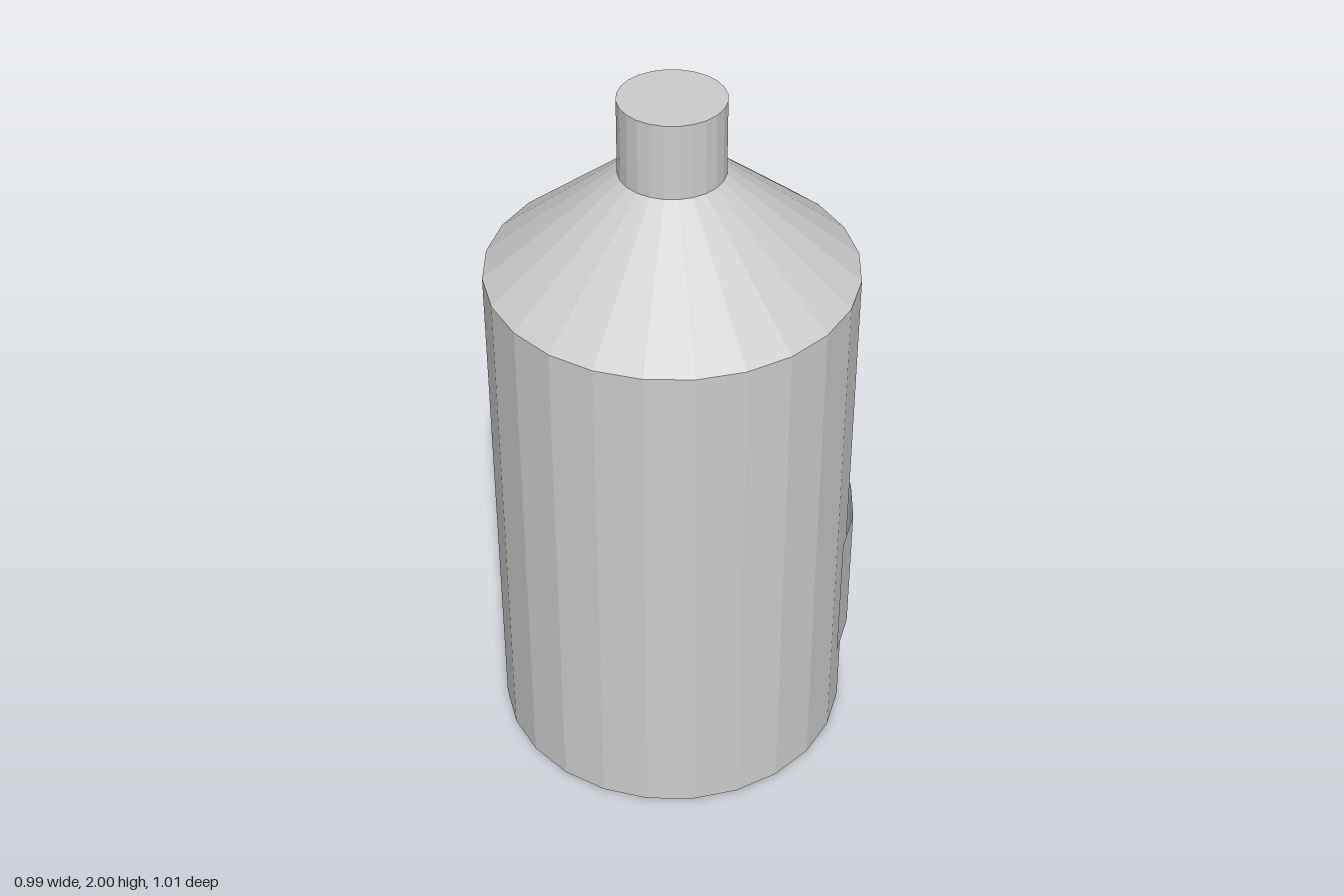
import * as THREE from 'three';

const SIDES = 24;
const BODY_R = 0.497, NECK_R = 0.141, LABEL_R = 0.513;
const SHOULDER_Y = 1.495, NECK_Y = 1.79, TOP_Y = 2;

export function createModel() {
  const model = new THREE.Group();
  model.name = 'bottle';
  const grey = new THREE.MeshStandardMaterial({ color: 0xcccccc, flatShading: true, side: THREE.DoubleSide });
  grey.name = 'light grey';

  // Turns a profile of [radius, height] points into a faceted part
  const turn = (name, profile, segments = SIDES, start = 0, sweep = Math.PI * 2) => {
    const points = profile.map(([r, y]) => new THREE.Vector2(r, y));
    const mesh = new THREE.Mesh(new THREE.LatheGeometry(points, segments, start, sweep), grey);
    mesh.name = name;
    mesh.position.z = 0.008;
    model.add(mesh);
  };

  // Closed base and straight wall
  turn('body', [[0, 0], [BODY_R, 0], [BODY_R, SHOULDER_Y]]);
  // Sloping cone between body and neck
  turn('shoulder', [[BODY_R, SHOULDER_Y], [NECK_R, NECK_Y]]);
  // Neck with closed top
  turn('neck', [[NECK_R, NECK_Y], [NECK_R, TOP_Y], [0, TOP_Y]]);
  // Open curved label wrapped around the back, standing just off the wall
  const step = (Math.PI * 2) / SIDES;
  turn('label', [[LABEL_R, 0.3], [LABEL_R, 0.7]], 10, 7 * step, 10 * step);

  return model;
}
